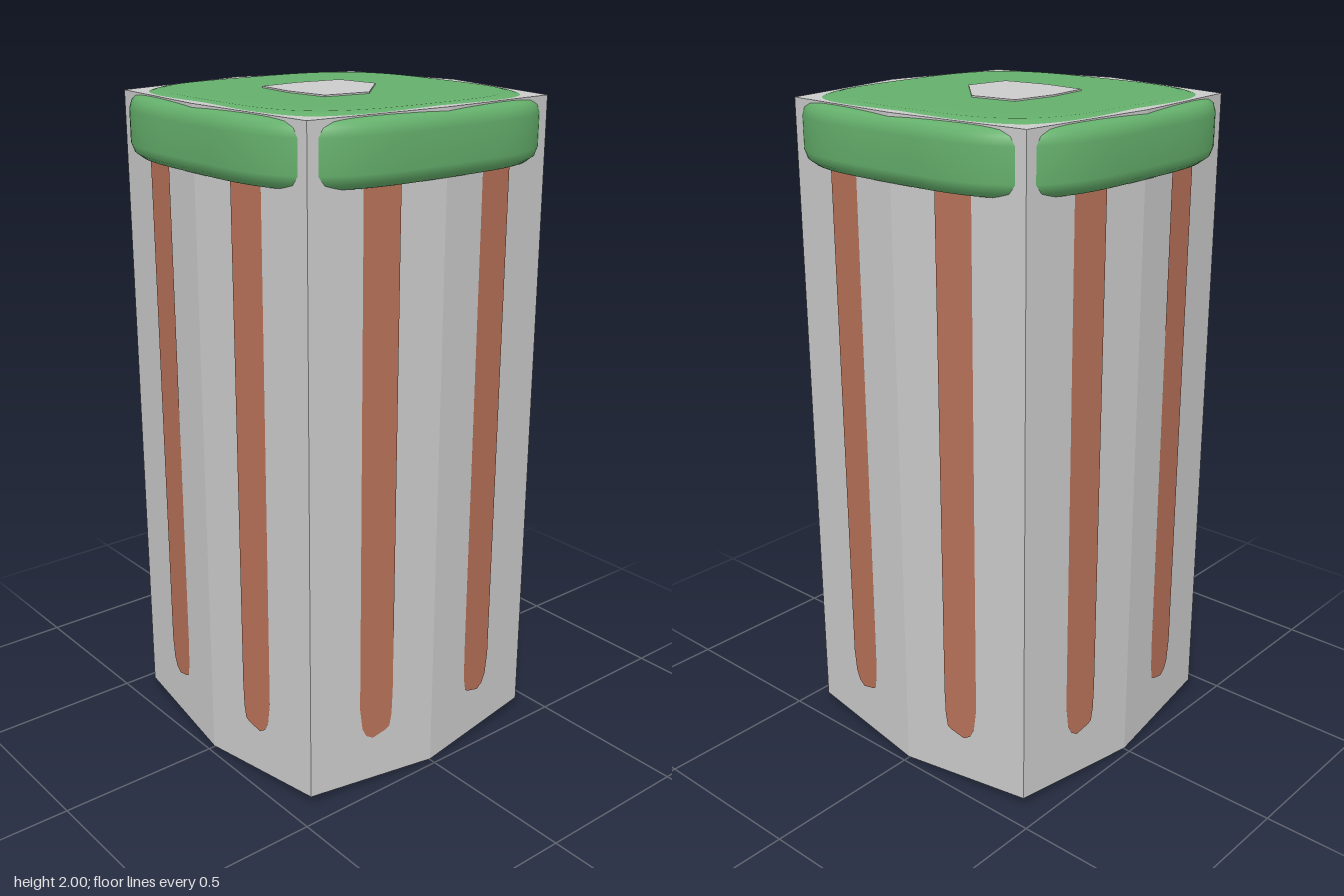
import * as THREE from 'three';

const material = (name, color, side = THREE.FrontSide) =>
  Object.assign(new THREE.MeshStandardMaterial({ color, side }), { name });

const CORNER = 0.43, MID = 0.48;

// Builds a mesh from triangles given as [x, y, z] points
function facetMesh(name, points, mat) {
  const geo = new THREE.BufferGeometry();
  geo.setAttribute('position', new THREE.Float32BufferAttribute(points.flat(), 3));
  geo.computeVertexNormals();
  const mesh = new THREE.Mesh(geo, mat);
  mesh.name = name;
  return mesh;
}

// Eight-point plan, running from front middle (+z) round towards +x
const plan = Array.from({ length: 8 }, (_, i) => {
  const a = (i * Math.PI) / 4, r = i % 2 ? CORNER * Math.SQRT2 : MID;
  return [Math.sin(a) * r, Math.cos(a) * r];
});

// Underside rises towards the corners
const underside = (x, z) => 0.003 + (0.027 * Math.min(Math.abs(x), Math.abs(z))) / CORNER;

function makeBody(mat) {
  const tris = [];
  const low = ([x, z]) => [x, underside(x, z), z];
  const high = ([x, z], i) => [x, i % 2 ? 1.985 : 1.99, z];
  for (let i = 0; i < 8; i++) {
    const j = (i + 1) % 8, a = plan[i], b = plan[j];
    tris.push(low(a), low(b), high(b, j), low(a), high(b, j), high(a, i));
    tris.push([0, 1.985, 0], high(a, i), high(b, j));
    tris.push([0, 0.003, 0], low(b), low(a));
  }
  return facetMesh('body', tris, mat);
}

// Softly squared lid, lofted from superellipse rings
function makeLid(mat) {
  const profile = [
    [0.4, 1.8], [0.455, 1.8], [0.48, 1.806], [0.497, 1.82], [0.505, 1.845],
    [0.505, 1.94], [0.499, 1.963], [0.487, 1.977], [0.472, 1.982], [0.456, 1.985],
    [0.44, 1.99], [0.42, 1.994], [0.3, 1.995], [0.02, 1.996],
  ];
  const N = 96, e = 2 / 3.6, pos = [], idx = [];
  const power = (v) => Math.sign(v) * Math.abs(v) ** e;
  for (const [r, y] of profile)
    for (let i = 0; i < N; i++) {
      const a = (i / N) * Math.PI * 2;
      pos.push(r * power(Math.sin(a)), y, r * power(Math.cos(a)));
    }
  for (let k = 0; k < profile.length - 1; k++)
    for (let i = 0; i < N; i++) {
      const j = (i + 1) % N, a = k * N + i, b = k * N + j;
      idx.push(a, b, b + N, a, b + N, a + N);
    }
  // Close the centre of the top
  const last = (profile.length - 1) * N;
  pos.push(0, 1.996, 0);
  for (let i = 0; i < N; i++) idx.push(last + i, last + ((i + 1) % N), profile.length * N);
  const geo = new THREE.BufferGeometry();
  geo.setAttribute('position', new THREE.Float32BufferAttribute(pos, 3));
  geo.setIndex(idx);
  geo.computeVertexNormals();
  const mesh = new THREE.Mesh(geo, mat);
  mesh.name = 'lid';
  return mesh;
}

// Long stripe with a rounded foot, laid on half of one wall
function makeStripe(side, mat) {
  const outline = [[0.148, 1.85], [0.148, 0.3], [0.151, 0.22], [0.158, 0.18],
    [0.17, 0.172], [0.217, 0.158], [0.24, 0.172], [0.254, 0.2], [0.263, 0.27], [0.265, 1.85]];
  const geo = new THREE.ShapeGeometry(
    new THREE.Shape(outline.map(([x, y]) => new THREE.Vector2(x * side, y))));
  const p = geo.attributes.position;
  for (let i = 0; i < p.count; i++)
    p.setZ(i, MID - ((MID - CORNER) * Math.abs(p.getX(i))) / CORNER + 0.003);
  geo.computeVertexNormals();
  const mesh = new THREE.Mesh(geo, mat);
  mesh.name = side > 0 ? 'leftStripe' : 'rightStripe';
  return mesh;
}

// Three-lobed patch following the folded underside
function makeBasePatch(mat) {
  const lobe = [0.5, 0.475, 0.41, 0.32, 0.22]; // radius from lobe tip to notch
  const blunt = [0.25, 0.255, 0.265, 0.28, 0.29]; // the flattened front-left side
  const rim = [];
  for (let q = 0; q < 4; q++)
    for (let s = -4; s < 4; s++) {
      const a = Math.PI / 4 + (q * Math.PI) / 2 + (s * Math.PI) / 16;
      let r = (q === 0 ? blunt : lobe)[Math.abs(s)];
      // Fuller flanks beside the blunt side
      if ((q === 1 && s === -4) || (q === 3 && s === 4)) r = 0.29;
      if (q === 0 && s === -4) r = 0.29;
      if ((q === 1 && s === -3) || (q === 3 && s === 3)) r = 0.35;
      const x = Math.sin(a) * r, z = Math.cos(a) * r;
      rim.push([x, underside(x, z) - 0.003, z]);
    }
  const tris = [];
  rim.forEach((p, i) => tris.push([0, 0, 0], rim[(i + 1) % rim.length], p));
  return facetMesh('basePatch', tris, mat);
}

// Small faceted plate in the middle of the lid, with one corner cut away
function makeLidPlate(mat) {
  const rim = plan.filter((_, i) => i !== 1).map(([x, z]) => [x * 0.335, 2, z * 0.335]);
  const tris = [];
  rim.forEach((p, i) => {
    const n = rim[(i + 1) % rim.length];
    const pl = [p[0], 1.994, p[2]], nl = [n[0], 1.994, n[2]];
    tris.push([0, 2, 0], p, n, pl, nl, n, pl, n, p);
  });
  return facetMesh('lidPlate', tris, mat);
}

export function createModel() {
  const grey = material('pale grey', 0xcccccc);
  const green = material('leaf green', 0x65b06c);
  const brown = material('terracotta', 0xb97259);

  const model = new THREE.Group();
  model.name = 'jar';
  model.add(makeBody(grey), makeLid(green), makeLidPlate(grey), makeBasePatch(brown));

  // A pair of stripes on each wall
  for (let k = 0; k < 4; k++) {
    const wall = new THREE.Group();
    wall.name = ['frontStripes', 'leftStripes', 'backStripes', 'rightStripes'][k];
    wall.add(makeStripe(1, brown), makeStripe(-1, brown));
    wall.rotation.y = (k * Math.PI) / 2;
    model.add(wall);
  }
  return model;
}
